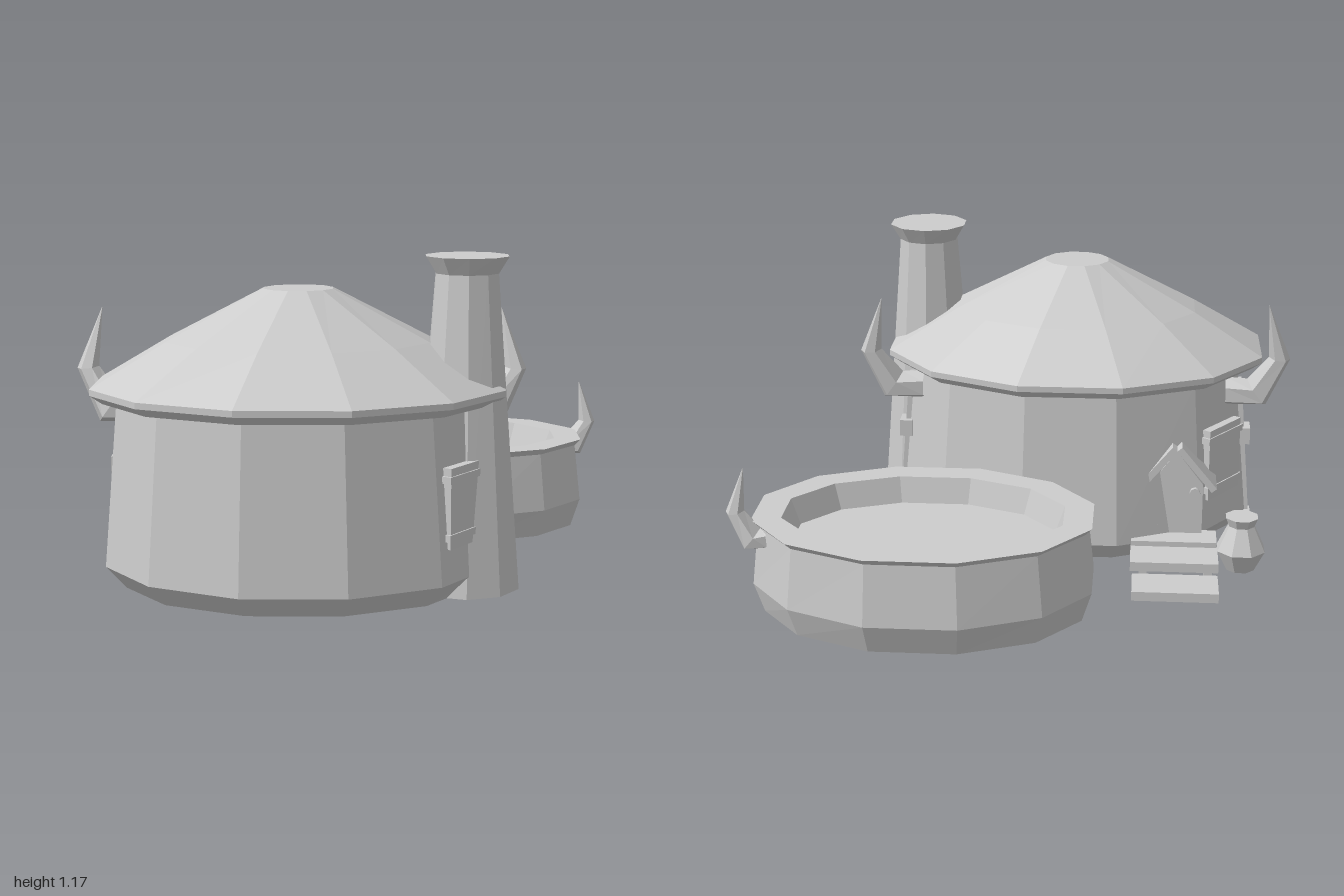
import * as THREE from 'three';

const stone = new THREE.MeshStandardMaterial({ color: 0xcccccc, side: THREE.DoubleSide });
stone.name = 'plain grey';

const HX = -0.18, HZ = 0.39; // hut centre

// Skin a list of rings (arrays of Vector3), flat shaded; optionally close the last ring
function loft(name, rings, cap = true) {
  const pos = [];
  const tri = (...pts) => pts.forEach(p => pos.push(p.x, p.y, p.z));
  const n = rings[0].length;
  for (let i = 0; i < rings.length - 1; i++) {
    for (let j = 0; j < n; j++) {
      const k = (j + 1) % n, a = rings[i], b = rings[i + 1];
      tri(a[j], b[j], a[k]);
      tri(a[k], b[j], b[k]);
    }
  }
  if (cap) {
    const last = rings[rings.length - 1];
    const c = new THREE.Vector3();
    last.forEach(p => c.addScaledVector(p, 1 / n));
    for (let j = 0; j < n; j++) tri(last[j], c, last[(j + 1) % n]);
  }
  const g = new THREE.BufferGeometry();
  g.setAttribute('position', new THREE.Float32BufferAttribute(pos, 3));
  g.computeVertexNormals();
  const m = new THREE.Mesh(g, stone);
  m.name = name;
  return m;
}

// Upright oval body from a profile of [radiusX, radiusZ, y]
function oval(name, cx, cz, sides, profile, cap) {
  return loft(name, profile.map(([rx, rz, y]) =>
    Array.from({ length: sides }, (_, i) => {
      const a = (i + 0.5) / sides * Math.PI * 2;
      return new THREE.Vector3(cx + rx * Math.cos(a), y, cz + rz * Math.sin(a));
    })), cap);
}

// Curved tapering horn along [x, y, z, radius] stations
function horn(name, path) {
  const pts = path.map(p => new THREE.Vector3(p[0], p[1], p[2]));
  const rings = path.map((p, i) => {
    const t = pts[Math.min(i + 1, pts.length - 1)].clone().sub(pts[Math.max(i - 1, 0)]);
    t.z = 0;
    t.normalize();
    return Array.from({ length: 6 }, (_, j) => {
      const a = j / 6 * Math.PI * 2, r = p[3];
      return new THREE.Vector3(
        p[0] + r * Math.cos(a) * t.y, p[1] - r * Math.cos(a) * t.x, p[2] + 1.25 * r * Math.sin(a));
    });
  });
  return loft(name, rings);
}

function box(name, w, h, d, x, y, z, rx = 0, ry = 0, rz = 0) {
  const m = new THREE.Mesh(new THREE.BoxGeometry(w, h, d), stone);
  m.name = name;
  m.position.set(x, y, z);
  m.rotation.set(rx, ry, rz);
  return m;
}

function knob(name, r, x, y, z) {
  const m = new THREE.Mesh(new THREE.CylinderGeometry(r, r, 0.025, 8), stone);
  m.name = name;
  m.rotation.x = Math.PI / 2;
  m.position.set(x, y, z);
  return m;
}

// Gabled doorway with sloping roof boards and steps
function makePorch() {
  const g = new THREE.Group();
  g.name = 'porch';
  const cx = -0.58;
  const s = new THREE.Shape();
  s.moveTo(-0.1, 0);
  s.lineTo(0.1, 0);
  s.lineTo(0.1, 0.3);
  s.lineTo(0, 0.43);
  s.lineTo(-0.1, 0.3);
  const body = new THREE.Mesh(
    new THREE.ExtrudeGeometry(s, { depth: 0.2, bevelEnabled: false }), stone);
  body.name = 'doorway';
  body.position.set(cx, 0, -0.06);
  g.add(body);
  for (const side of [-1, 1]) {
    g.add(box('porchRoofBoard', 0.21, 0.025, 0.2, cx + side * 0.075, 0.365, 0.02, 0, 0, -side * 0.88));
  }
  g.add(knob('doorKnob', 0.014, -0.5, 0.14, -0.065));
  g.add(knob('gableBoss', 0.02, -0.65, 0.27, -0.065));
  g.add(box('lowerStep', 0.315, 0.035, 0.16, -0.578, 0.018, -0.375));
  g.add(box('upperStep', 0.325, 0.035, 0.16, -0.575, 0.065, -0.22));
  g.add(box('landing', 0.32, 0.035, 0.12, -0.575, 0.085, -0.09));
  for (const side of [-1, 1]) {
    g.add(box('stepBeam', 0.03, 0.045, 0.22, cx + side * 0.12, 0.024, -0.18));
  }
  return g;
}

export function createModel() {
  const model = new THREE.Group();
  model.name = 'hutWithPool';

  // Hut
  model.add(oval('hutWalls', HX, HZ, 12,
    [[0.63, 0.485, 0], [0.7, 0.562, 0.08], [0.65, 0.52, 0.67]], false));
  model.add(oval('hutRoof', HX, HZ, 12,
    [[0.64, 0.51, 0.66], [0.7, 0.545, 0.66], [0.745, 0.58, 0.69], [0.745, 0.58, 0.712],
      [0.475, 0.365, 0.87], [0.125, 0.115, 1.05]]));

  // Chimney
  model.add(oval('chimney', 0.405, 0.455, 10,
    [[0.2, 0.205, 0], [0.113, 0.115, 1.11], [0.15, 0.15, 1.17]]));

  // Horns and wall posts on both flanks
  for (const s of [-1, 1]) {
    const X = d => HX + s * d;
    model.add(horn('hutHorn', [
      [X(0.58), 0.59, 0.2, 0.055], [X(0.7), 0.59, 0.195, 0.063],
      [X(0.78), 0.735, 0.167, 0.04], [X(0.73), 0.95, 0.13, 0.001]]));
    model.add(box('wallPost', 0.03, 0.58, 0.035, X(0.655), 0.33, 0.262, 0, 0, s * 0.083));
    model.add(box('postBlock', 0.05, 0.065, 0.08, X(0.66), 0.395, 0.262));
    model.add(box('postFoot', 0.035, 0.05, 0.06, X(0.68), 0.055, 0.255));
    // Shutters face diagonally, one at the front and one at the back
    const ry = 0.956 + (s < 0 ? Math.PI : 0);
    model.add(box('shutter', 0.21, 0.28, 0.035, X(0.57), 0.34, HZ + s * 0.265, 0, ry, 0));
    model.add(box('shutterBar', 0.23, 0.025, 0.045, X(0.57), 0.44, HZ + s * 0.265, 0, ry, 0));
    model.add(box('shutterBar', 0.23, 0.025, 0.045, X(0.57), 0.24, HZ + s * 0.265, 0, ry, 0));
  }

  model.add(makePorch());

  // Pot beside the steps
  model.add(oval('pot', -0.825, -0.138, 8,
    [[0.055, 0.055, 0], [0.095, 0.095, 0.08], [0.05, 0.05, 0.175], [0.064, 0.064, 0.21]]));

  // Oval pool with a flared rim
  model.add(oval('pool', 0.316, -0.524, 12,
    [[0.585, 0.405, 0], [0.62, 0.448, 0.11], [0.595, 0.42, 0.33], [0.619, 0.446, 0.355],
      [0.512, 0.343, 0.355], [0.478, 0.318, 0.26]]));
  model.add(horn('poolHorn', [
    [0.85, 0.295, -0.645, 0.042], [0.91, 0.29, -0.645, 0.05],
    [0.965, 0.39, -0.645, 0.033], [0.93, 0.55, -0.642, 0.001]]));

  return model;
}
